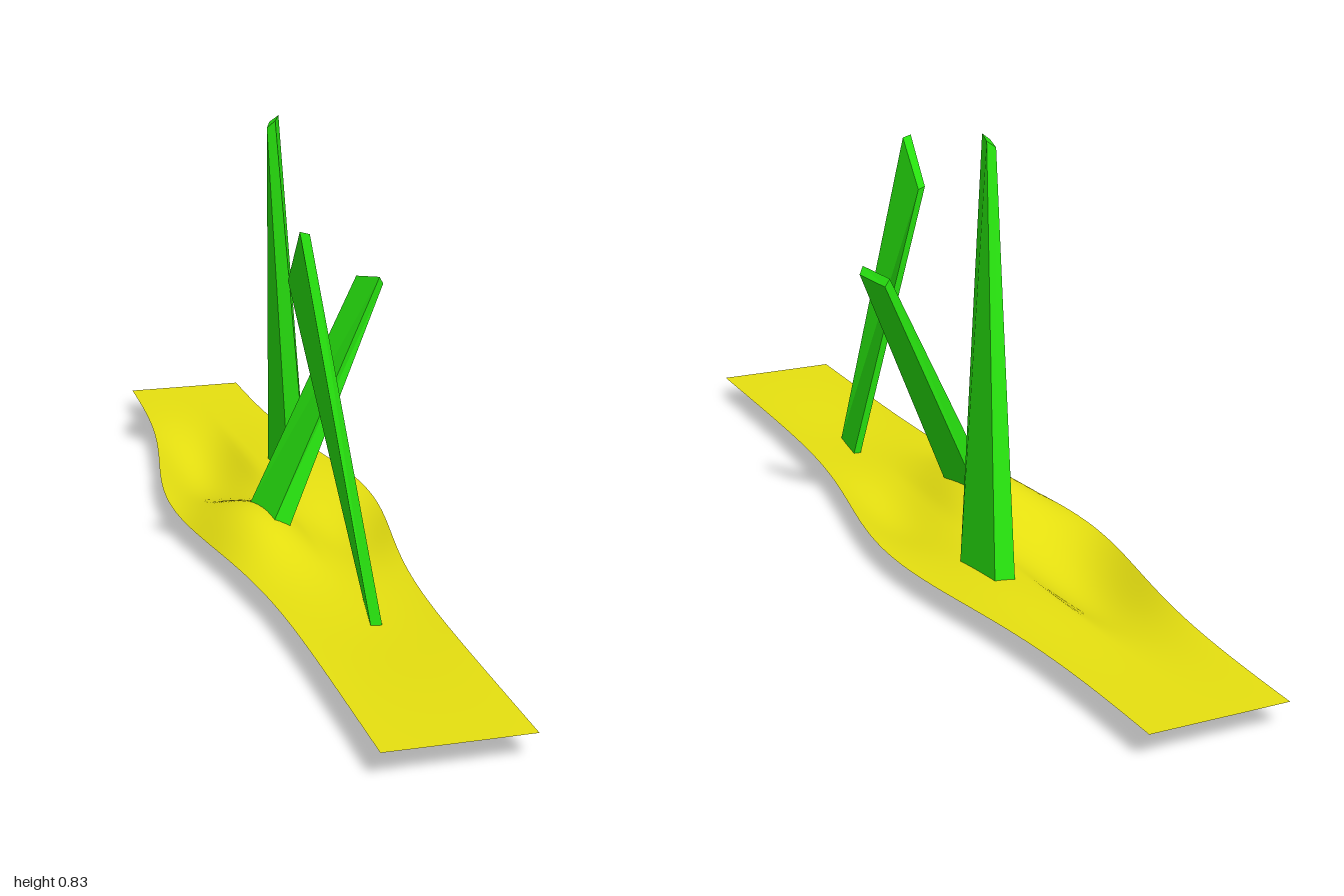
import * as THREE from 'three';

const yellow = new THREE.MeshStandardMaterial({ color: 0xe6e010, side: THREE.DoubleSide });
const green = new THREE.MeshStandardMaterial({ color: 0x28e60f, flatShading: true });

const bell = (v, centre, width) => Math.exp(-0.5 * ((v - centre) / width) ** 2);

// Height of the ribbon; u runs -1..1 across its width, both edges stay level
function ribbonHeight(u, z) {
  const front = bell(z, 0.03, 0.13), back = bell(z, -0.41, 0.165);
  const wave = u < 0.1
    ? (0.053 * front - 0.047 * back) * Math.sin(Math.PI * (u + 1) / 1.1)
    : (-0.027 * front + 0.011 * back) * Math.sin(Math.PI * (u - 0.1) / 0.9);
  return 0.047 + wave - 0.012 * bell(z, 0.5, 0.18) * (1 - u * u);
}

// Wavy ribbon that widens behind its middle
function makeRibbon() {
  const geo = new THREE.PlaneGeometry(2, 2, 32, 96).rotateX(-Math.PI / 2);
  const p = geo.attributes.position;
  for (let i = 0; i < p.count; i++) {
    const u = p.getX(i), z = p.getZ(i);
    p.setXYZ(i, u * (0.13 + 0.08 * bell(z, -0.17, 0.27)), ribbonHeight(u, z), z);
  }
  geo.computeVertexNormals();
  const mesh = new THREE.Mesh(geo, yellow);
  mesh.name = 'ribbon';
  return mesh;
}

// Tapered four-sided post between two quads, corners in the order
// front -x, front +x, back +x, back -x
function makePost(name, bottom, top) {
  const tris = [];
  const quad = (a, b, c, d) => tris.push(...a, ...b, ...c, ...a, ...c, ...d);
  for (let i = 0; i < 4; i++) {
    const j = (i + 1) % 4;
    quad(bottom[i], bottom[j], top[j], top[i]);
  }
  quad(...top);
  quad(bottom[3], bottom[2], bottom[1], bottom[0]);
  const geo = new THREE.BufferGeometry();
  geo.setAttribute('position', new THREE.Float32BufferAttribute(tris, 3));
  geo.computeVertexNormals();
  const mesh = new THREE.Mesh(geo, green);
  mesh.name = name;
  return mesh;
}

export function createModel() {
  const model = new THREE.Group();
  model.name = 'ribbonWithPosts';
  model.add(
    makeRibbon(),
    makePost('frontPost',
      [[0.01, 0.032, 0.505], [0.03, 0.032, 0.51], [0.046, 0.032, 0.4], [0.03, 0.032, 0.4]],
      [[-0.09, 0.73, 0.39], [-0.072, 0.725, 0.39], [-0.08, 0.625, 0.33], [-0.095, 0.63, 0.33]]),
    makePost('middlePost',
      [[-0.065, 0.07, 0.085], [-0.028, 0.07, 0.088], [-0.05, 0.07, -0.027], [-0.085, 0.07, -0.03]],
      [[0.166, 0.555, 0.045], [0.175, 0.54, 0.04], [0.15, 0.528, -0.025], [0.14, 0.543, -0.025]]),
    makePost('backPost',
      [[0.067, 0.043, -0.265], [0.108, 0.043, -0.27], [0.096, 0.043, -0.393], [0.055, 0.043, -0.393]],
      [[-0.007, 0.822, -0.155], [0.01, 0.835, -0.155], [0.035, 0.835, -0.225], [0.016, 0.822, -0.225]])
  );
  return model;
}
